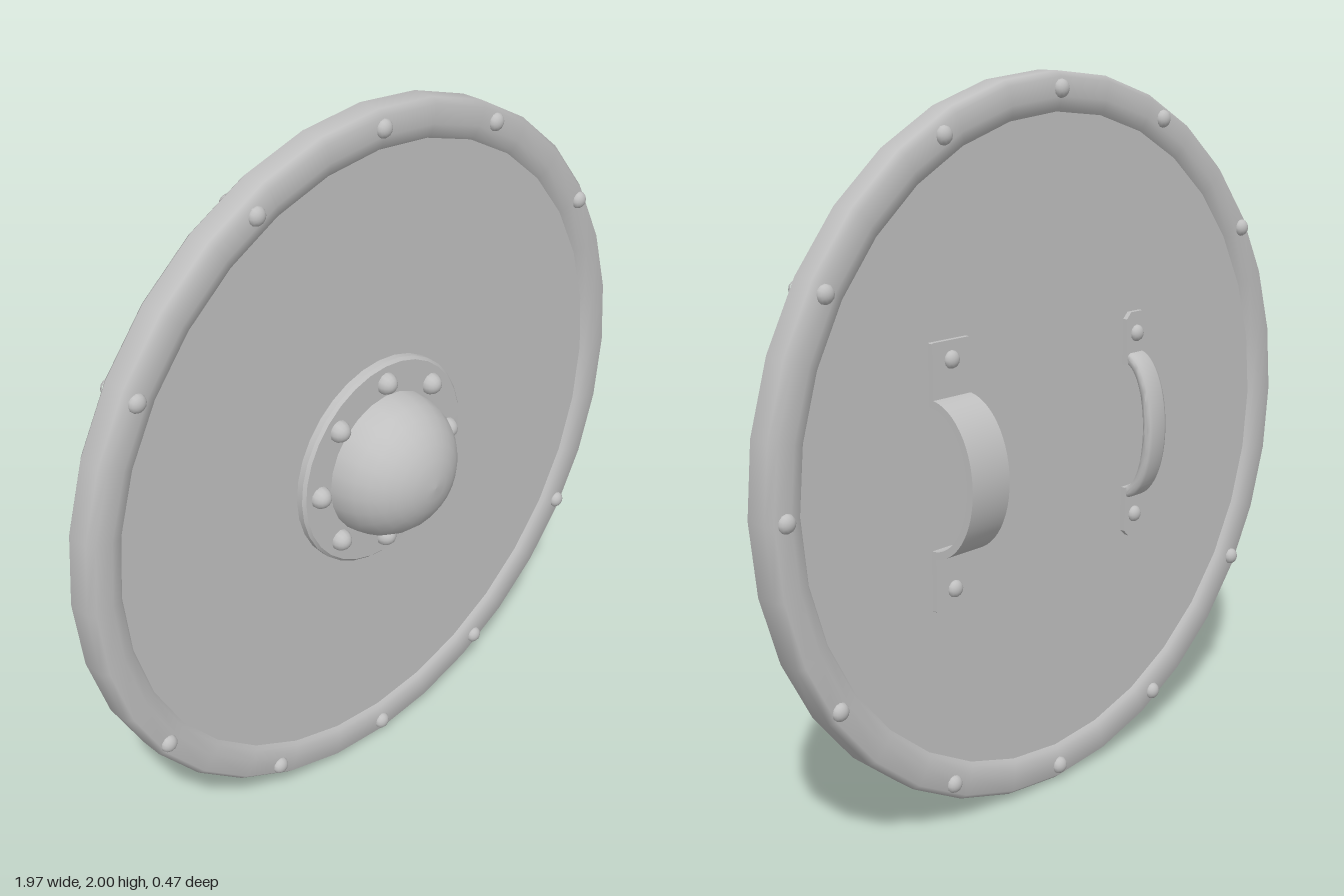
import * as THREE from 'three';
import { toCreasedNormals } from 'three/addons/utils/BufferGeometryUtils.js';

const steel = new THREE.MeshStandardMaterial({ color: 0xc0c0c0 });
steel.name = 'steel grey';

const FACE = 0.033; // half thickness of the board
const RIM = 0.05; // half thickness of the rim

function add(parent, name, geometry, x = 0, y = 0, z = 0) {
  const mesh = new THREE.Mesh(geometry, steel);
  mesh.name = name;
  mesh.position.set(x, y, z);
  parent.add(mesh);
  return mesh;
}

// Turned part whose axis points to the front; profile is [radius, z]
function turned(profile, sides, crease) {
  const points = profile.map(([r, z]) => new THREE.Vector2(r, z));
  const g = new THREE.LatheGeometry(points, sides).rotateX(Math.PI / 2);
  return crease ? toCreasedNormals(g, crease) : g;
}

// Domed rivet head, side is +1 for front and -1 for back
function rivet(parent, x, y, z, radius, height, side) {
  const g = new THREE.SphereGeometry(radius, 12, 5, 0, Math.PI * 2, 0, Math.PI / 2);
  g.scale(1, height / radius, 1).rotateX(side * Math.PI / 2);
  add(parent, 'rivet', g, x, y, z);
}

// Bowed band with a riveted tab at each end, on the back face
function handle(parent, name, o) {
  const group = new THREE.Group();
  group.name = name;
  group.position.x = o.x;

  const arch = new THREE.Shape();
  arch.absellipse(0, 0, o.span, o.rise, 0, Math.PI, false);
  arch.lineTo(-o.span + o.thick, 0);
  arch.absellipse(0, 0, o.span - o.thick, o.rise - o.thick, Math.PI, 0, true);
  arch.closePath();
  const g = new THREE.ExtrudeGeometry(arch, {
    depth: o.width - 2 * o.bevel, curveSegments: 14,
    bevelEnabled: o.bevel > 0, bevelSize: o.bevel, bevelThickness: o.bevel,
    bevelOffset: -o.bevel, bevelSegments: 2,
  });
  g.translate(0, 0, -o.width / 2 + o.bevel);
  g.applyMatrix4(new THREE.Matrix4().makeBasis(
    new THREE.Vector3(0, 1, 0), new THREE.Vector3(0, 0, -1), new THREE.Vector3(-1, 0, 0)));
  add(group, 'bow', toCreasedNormals(g, 0.8), 0, 0, -FACE);

  const w = o.tabWidth / 2, c = o.chamfer, inner = o.span - o.thick;
  for (const s of [1, -1]) {
    const tab = new THREE.Shape([
      [-w, inner], [w, inner], [w, o.end - c], [w - c, o.end], [c - w, o.end], [-w, o.end - c],
    ].map(([x, y]) => new THREE.Vector2(x, s * y)));
    add(group, 'tab', new THREE.ExtrudeGeometry(tab, { depth: 0.016, bevelEnabled: false }),
      0, 0, -FACE - 0.014);
    rivet(group, 0, s * o.rivetAt, -FACE - 0.014, 0.024, 0.018, -1);
  }
  parent.add(group);
}

export function createModel() {
  const model = new THREE.Group();
  const shield = new THREE.Group();
  shield.name = 'shield';
  shield.rotation.y = 0.085;
  shield.position.set(0, 1, -0.017);
  model.add(shield);

  // Board and rounded rim, slightly narrower than tall
  const body = new THREE.Group();
  body.name = 'body';
  body.scale.x = 0.985;
  shield.add(body);
  add(body, 'board', new THREE.CylinderGeometry(0.91, 0.91, FACE * 2, 32).rotateX(Math.PI / 2));
  const half = [[1, 0.032], [0.985, RIM], [0.935, RIM], [0.905, 0.043], [0.888, 0.025]];
  const back = half.map(([r, z]) => [r, -z]).reverse();
  add(body, 'rim', turned([...back, ...half], 32));

  // Rim rivets on both faces
  for (const deg of [0, 26, 57, 123, 154, 180, 206, 237, 303, 334]) {
    const a = THREE.MathUtils.degToRad(deg);
    for (const side of [1, -1]) {
      rivet(shield, 0.95 * Math.sin(a), 0.955 * Math.cos(a), side * (RIM - 0.001), 0.025, 0.02, side);
    }
  }
  rivet(shield, 0.935, 0, -RIM + 0.001, 0.025, 0.02, -1);

  // Central boss: flange, dome and ring of rivets
  const boss = new THREE.Group();
  boss.name = 'boss';
  shield.add(boss);
  add(boss, 'flange', turned([[0.305, 0.025], [0.305, 0.052], [0.297, 0.06], [0, 0.062]], 32, 0.5));
  const dome = [];
  for (let i = 0; i <= 8; i++) {
    const a = (i / 8) * Math.PI / 2;
    dome.push([0.208 * Math.cos(a), 0.058 + 0.192 * Math.sin(a)]);
  }
  add(boss, 'dome', turned(dome, 24));
  for (let i = 0; i < 8; i++) {
    const a = (i / 8) * Math.PI * 2;
    rivet(boss, 0.247 * Math.sin(a), 0.247 * Math.cos(a), 0.06, 0.031, 0.034, 1);
  }

  // Wide arm strap and narrower hand grip
  handle(shield, 'armStrap', {
    x: 0.4, span: 0.21, rise: 0.152, thick: 0.02, width: 0.13, bevel: 0,
    tabWidth: 0.13, end: 0.355, chamfer: 0.002, rivetAt: 0.305,
  });
  handle(shield, 'handGrip', {
    x: -0.32, span: 0.215, rise: 0.102, thick: 0.034, width: 0.075, bevel: 0.012,
    tabWidth: 0.085, end: 0.33, chamfer: 0.018, rivetAt: 0.268,
  });
  return model;
}
